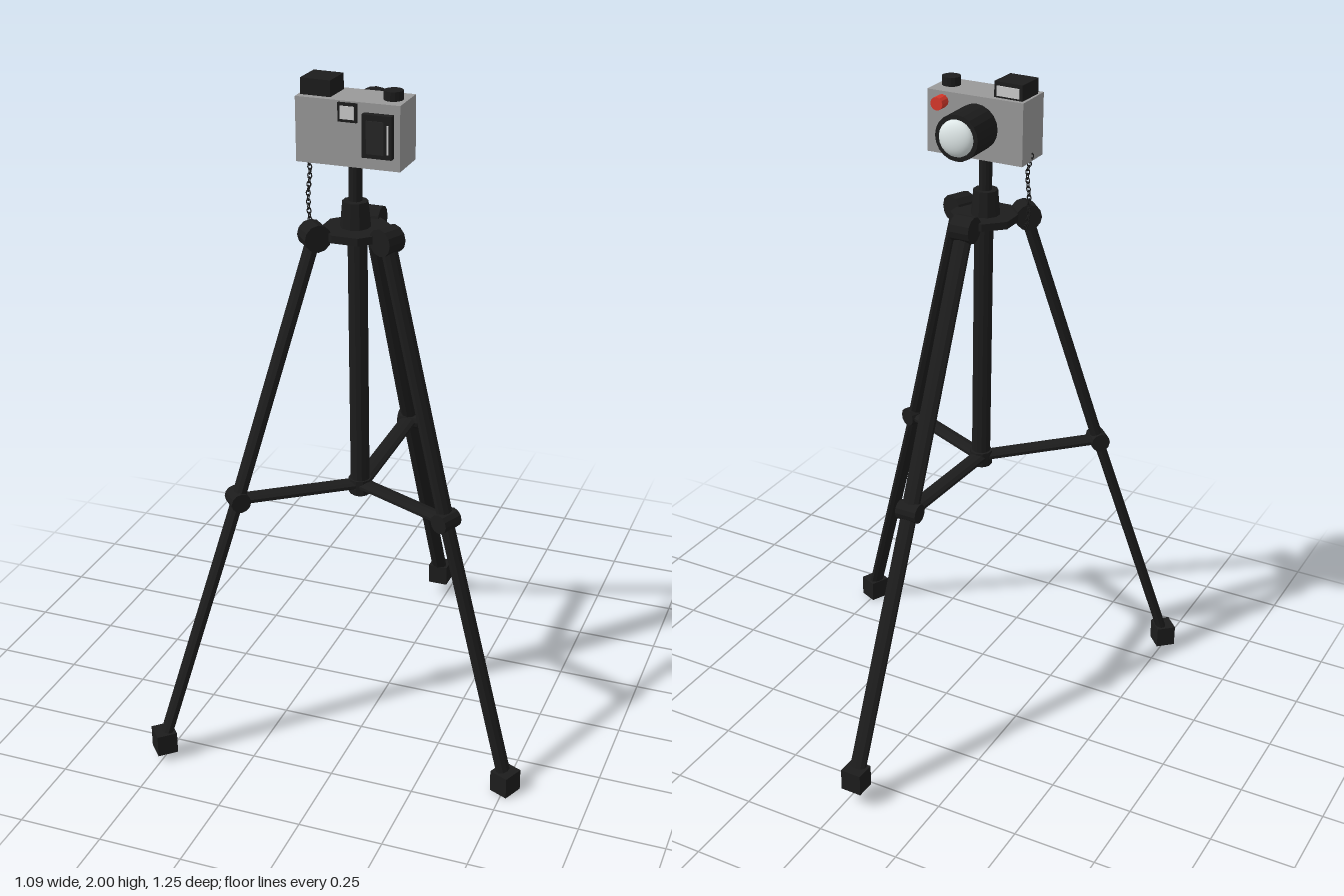
import * as THREE from 'three';

const V = (x, y, z) => new THREE.Vector3(x, y, z);
const UP = V(0, 1, 0);
const mat = (color, flatShading = true) => new THREE.MeshStandardMaterial({ color, flatShading });
const BLACK = mat(0x1c1c1c);
const DARK = mat(0x262626);
const METAL = mat(0x999999);
const LIGHT = mat(0xdcdcdc);
const GLASS = mat(0xdfe8e8, false);
const RED = mat(0xd8392b);

function add(parent, name, geometry, material, x = 0, y = 0, z = 0) {
  const mesh = new THREE.Mesh(geometry, material);
  mesh.name = name;
  mesh.position.set(x, y, z);
  parent.add(mesh);
  return mesh;
}

const box = (parent, name, m, size, pos) => add(parent, name, new THREE.BoxGeometry(...size), m, ...pos);

// Oval rod between two points: width lies sideways, depth across it
function rod(parent, name, a, b, width, depth = width, sides = 10) {
  const axis = a.clone().sub(b);
  const length = axis.length();
  axis.normalize();
  const side = V(0, 0, 0).crossVectors(UP, axis);
  if (side.lengthSq() < 1e-4) side.set(1, 0, 0);
  side.normalize();
  const normal = V(0, 0, 0).crossVectors(side, axis).normalize();
  side.crossVectors(axis, normal);
  const geometry = new THREE.CylinderGeometry(0.5, 0.5, length, sides);
  geometry.scale(width, 1, depth);
  geometry.applyMatrix4(new THREE.Matrix4().makeBasis(side, axis, normal));
  const mid = a.clone().add(b).multiplyScalar(0.5);
  return add(parent, name, geometry, BLACK, mid.x, mid.y, mid.z);
}

function buildLeg(name, hinge, knee, foot) {
  const leg = new THREE.Group();
  leg.name = name;
  const out = foot.clone().sub(hinge).setY(0).normalize();
  const side = V(0, 0, 0).crossVectors(UP, out);
  const pin = (label, p, length, diameter) => rod(leg, label,
    p.clone().addScaledVector(side, -length / 2), p.clone().addScaledVector(side, length / 2), diameter, diameter, 12);

  rod(leg, 'upperLeg', hinge, knee, 0.054, 0.036);
  rod(leg, 'lowerLeg', knee, foot, 0.05, 0.032);
  pin('hinge', hinge, 0.062, 0.078);
  pin('kneeJoint', knee, 0.066, 0.058);
  // Arm to the top plate and strut to the lower hub
  rod(leg, 'topArm', V(-0.035, 1.58, 0.163), hinge, 0.055, 0.024);
  rod(leg, 'strut', V(-0.03, 0.8, 0.165), knee, 0.054, 0.027);
  const shoe = box(leg, 'foot', BLACK, [0.064, 0.066, 0.06], foot.toArray());
  shoe.rotation.y = Math.atan2(out.x, out.z);
  return leg;
}

function buildCamera() {
  const cam = new THREE.Group();
  cam.name = 'camera';
  box(cam, 'body', METAL, [0.298, 0.18, 0.126], [-0.041, 1.865, 0.15]);

  // Flash with its window, dial and shutter button
  const flash = box(cam, 'flash', BLACK, [0.088, 0.046, 0.09], [-0.138, 1.977, 0.147]);
  flash.rotation.y = -0.04;
  box(flash, 'flashWindow', LIGHT, [0.07, 0.028, 0.006], [0, -0.002, -0.046]);
  add(cam, 'dial', new THREE.CylinderGeometry(0.027, 0.027, 0.027, 14), BLACK, 0.069, 1.967, 0.155);
  const button = add(cam, 'redButton', new THREE.CylinderGeometry(0.019, 0.019, 0.036, 12), RED, 0.06, 1.927, 0.07);
  button.rotation.x = Math.PI / 2;

  // Lens barrel and domed glass facing -z
  const barrel = add(cam, 'lensBarrel', new THREE.CylinderGeometry(0.066, 0.066, 0.118, 20), BLACK, -0.047, 1.868, 0.03);
  barrel.rotation.x = Math.PI / 2;
  const dome = new THREE.SphereGeometry(0.053, 20, 8, 0, Math.PI * 2, 0, Math.PI / 2);
  dome.scale(1, 0.5, 1);
  dome.rotateX(-Math.PI / 2);
  add(cam, 'lensGlass', dome, GLASS, -0.047, 1.868, -0.028);

  // Eyepiece and dark panel on the +z side
  box(cam, 'eyepieceFrame', BLACK, [0.054, 0.052, 0.01], [-0.039, 1.925, 0.215]);
  box(cam, 'eyepieceWindow', LIGHT, [0.04, 0.036, 0.006], [-0.039, 1.925, 0.219]);
  box(cam, 'rearPanel', BLACK, [0.084, 0.118, 0.022], [0.049, 1.87, 0.222]);
  box(cam, 'panelInset', DARK, [0.05, 0.09, 0.004], [0.045, 1.868, 0.234]);
  box(cam, 'panelTrim', LIGHT, [0.005, 0.078, 0.004], [0.08, 1.865, 0.234]);
  return cam;
}

// Hanging chain of alternating links
function buildChain() {
  const chain = new THREE.Group();
  chain.name = 'chain';
  const curve = new THREE.CatmullRomCurve3([
    V(-0.19, 1.79, 0.145), V(-0.178, 1.74, 0.147), V(-0.183, 1.66, 0.15),
    V(-0.175, 1.59, 0.16), V(-0.155, 1.56, 0.19),
  ]);
  const count = 21;
  for (let i = 0; i < count; i++) {
    const link = new THREE.TorusGeometry(0.006, 0.0018, 5, 8);
    link.scale(1, 1.4, 1);
    link.rotateY(i % 2 ? Math.PI / 2 : 0);
    const t = i / (count - 1);
    const p = curve.getPointAt(t);
    const mesh = add(chain, 'chainLink', link, BLACK, p.x, p.y, p.z);
    mesh.quaternion.setFromUnitVectors(UP, curve.getTangentAt(t).negate());
  }
  return chain;
}

export function createModel() {
  const model = new THREE.Group();
  model.name = 'cameraOnTripod';

  // Centre column, head and hubs
  rod(model, 'centerColumn', V(-0.034, 1.6, 0.162), V(-0.029, 0.77, 0.168), 0.056, 0.054, 12);
  rod(model, 'neck', V(-0.04, 1.78, 0.158), V(-0.04, 1.65, 0.158), 0.038, 0.038, 12);
  add(model, 'headCollar', new THREE.CylinderGeometry(0.036, 0.043, 0.075, 10), BLACK, -0.04, 1.627, 0.16);
  add(model, 'topPlate', new THREE.CylinderGeometry(0.1, 0.1, 0.022, 8), BLACK, -0.035, 1.58, 0.165)
    .rotation.y = Math.PI / 8;
  add(model, 'lowerHub', new THREE.CylinderGeometry(0.034, 0.034, 0.045, 10), BLACK, -0.03, 0.797, 0.166);

  model.add(
    buildLeg('rightLeg', V(-0.13, 1.578, 0.24), V(-0.312, 0.817, 0.408), V(-0.502, 0.057, 0.583)),
    buildLeg('leftLeg', V(0.07, 1.578, 0.208), V(0.28, 0.803, 0.303), V(0.503, 0.034, 0.397)),
    buildLeg('rearLeg', V(-0.032, 1.578, 0.05), V(-0.026, 0.817, -0.265), V(-0.024, 0.084, -0.59)),
    buildCamera(),
    buildChain(),
  );
  return model;
}
